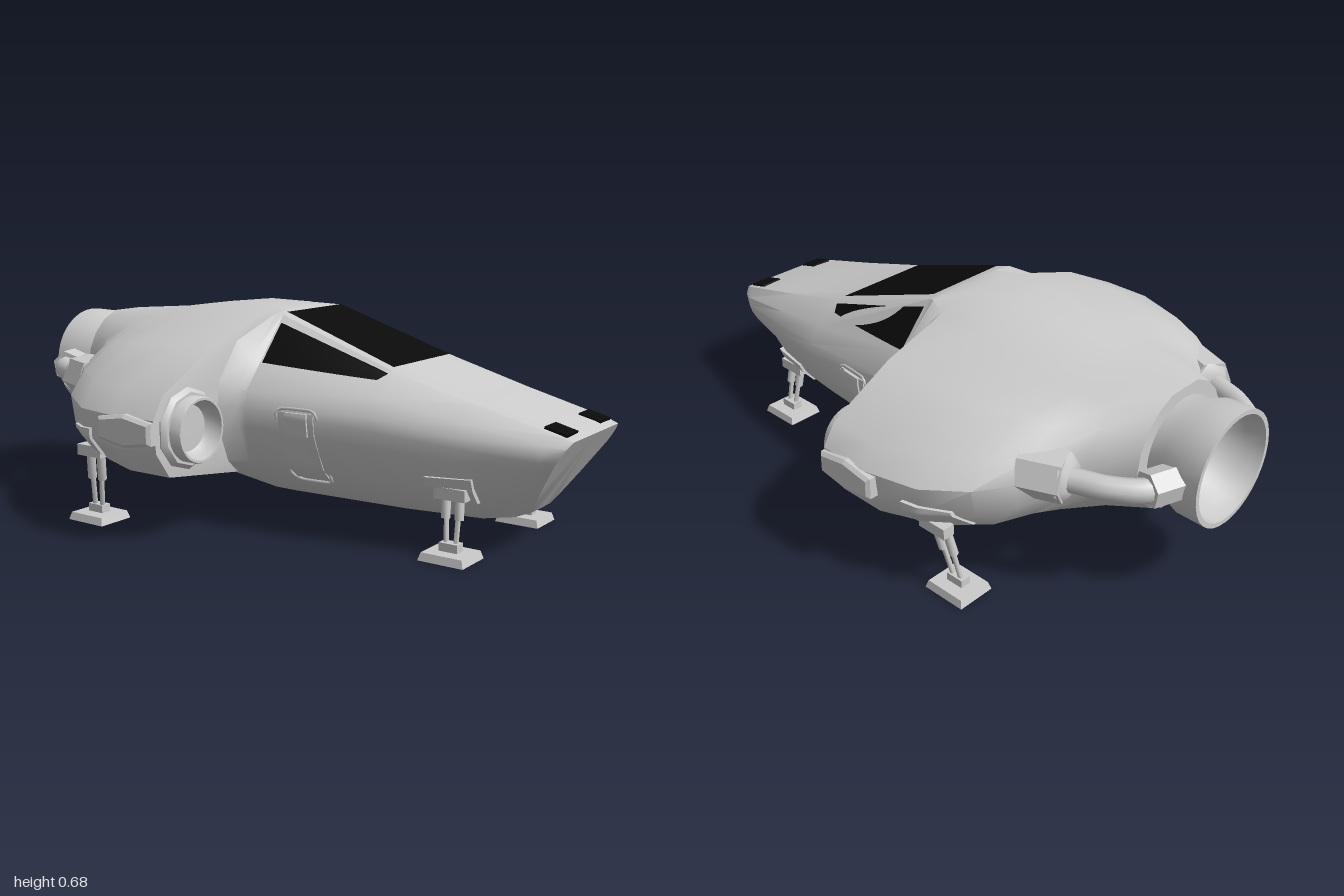
import * as THREE from 'three';
import { toCreasedNormals } from 'three/addons/utils/BufferGeometryUtils.js';

// Half cross-sections from roof to keel: z, lean (z change per unit of y), then nine x, y pairs.
const COCKPIT = [
  [1, 0.65, 0.1, 0.37, 0.16, 0.37, 0.18, 0.35, 0.185, 0.33, 0.185, 0.31, 0.17, 0.28, 0.13, 0.21, 0.09, 0.155, 0.06, 0.125],
  [0.955, 0.6, 0.1, 0.385, 0.17, 0.382, 0.2, 0.355, 0.21, 0.33, 0.21, 0.31, 0.2, 0.28, 0.16, 0.21, 0.125, 0.155, 0.09, 0.11],
  [0.7, 0, 0.1, 0.45, 0.18, 0.447, 0.24, 0.4, 0.262, 0.36, 0.265, 0.33, 0.255, 0.29, 0.22, 0.2, 0.16, 0.125, 0.1, 0.092],
  [0.44, 0, 0.12, 0.522, 0.19, 0.517, 0.28, 0.45, 0.32, 0.4, 0.325, 0.36, 0.315, 0.31, 0.26, 0.2, 0.18, 0.12, 0.1, 0.08],
  [0.02, 0, 0.1, 0.66, 0.167, 0.656, 0.29, 0.515, 0.355, 0.44, 0.365, 0.39, 0.36, 0.33, 0.31, 0.21, 0.21, 0.13, 0.11, 0.076],
  [0, 0, 0.1, 0.668, 0.175, 0.66, 0.31, 0.535, 0.37, 0.45, 0.375, 0.39, 0.37, 0.33, 0.32, 0.21, 0.22, 0.13, 0.11, 0.076],
];
const WINGS = [
  [-0.05, 0, 0.09, 0.672, 0.19, 0.645, 0.31, 0.585, 0.4, 0.47, 0.41, 0.39, 0.4, 0.31, 0.36, 0.21, 0.26, 0.15, 0.12, 0.08],
  [-0.06, 0, 0.09, 0.673, 0.2, 0.643, 0.42, 0.575, 0.64, 0.46, 0.685, 0.39, 0.675, 0.29, 0.62, 0.21, 0.3, 0.165, 0.12, 0.082],
  [-0.22, 0, 0.09, 0.675, 0.2, 0.64, 0.42, 0.572, 0.64, 0.46, 0.69, 0.39, 0.68, 0.29, 0.62, 0.21, 0.3, 0.165, 0.12, 0.105],
  [-0.4, 0, 0.09, 0.655, 0.2, 0.62, 0.4, 0.56, 0.58, 0.46, 0.64, 0.385, 0.63, 0.3, 0.56, 0.22, 0.3, 0.175, 0.12, 0.135],
  [-0.53, 0, 0.1, 0.637, 0.2, 0.6, 0.36, 0.55, 0.5, 0.47, 0.56, 0.4, 0.545, 0.31, 0.47, 0.24, 0.3, 0.195, 0.12, 0.165],
  [-0.605, 0, 0.1, 0.626, 0.19, 0.59, 0.33, 0.53, 0.43, 0.47, 0.47, 0.41, 0.45, 0.33, 0.38, 0.27, 0.26, 0.22, 0.12, 0.18],
  [-0.7, 0, 0.1, 0.618, 0.175, 0.58, 0.23, 0.53, 0.265, 0.48, 0.28, 0.42, 0.265, 0.35, 0.23, 0.29, 0.17, 0.235, 0.1, 0.205],
];
const SECTIONS = [...COCKPIT, ...WINGS].map(([z, lean, ...v]) => {
  const half = [];
  for (let i = 0; i < v.length; i += 2) half.push(new THREE.Vector3(v[i], v[i + 1], z + lean * (v[i + 1] - 0.37)));
  return { z, half };
});
// Round tail section
SECTIONS.push({
  z: -0.82,
  half: Array.from({ length: 9 }, (_, i) => {
    const a = ((i + 1) * Math.PI) / 10;
    return new THREE.Vector3(0.2 * Math.sin(a), 0.42 + 0.2 * Math.cos(a), -0.82);
  }),
});

const GREY = new THREE.MeshStandardMaterial({ color: 0xcccccc, side: THREE.DoubleSide });
const BLACK = new THREE.MeshStandardMaterial({ color: 0x0a0a0a, side: THREE.DoubleSide });

function hullGeometry() {
  const pos = [], idx = [], n = 20;
  for (const { half } of SECTIONS) {
    const first = half[0], last = half[8];
    const ring = [
      new THREE.Vector3(0, first.y, first.z), ...half, new THREE.Vector3(0, last.y, last.z),
      ...half.map((p) => new THREE.Vector3(-p.x, p.y, p.z)).reverse(),
    ];
    ring.forEach((p) => pos.push(p.x, p.y, p.z));
  }
  const end = SECTIONS.length - 1;
  for (let i = 0; i < end; i++) for (let j = 0; j < n; j++) {
    const a = i * n + j, b = i * n + ((j + 1) % n);
    idx.push(a, b, a + n, b, b + n, a + n);
  }
  // Flat nose and tail
  for (let j = 1; j < n - 1; j++) idx.push(0, j + 1, j, end * n, end * n + j, end * n + j + 1);
  const g = new THREE.BufferGeometry();
  g.setAttribute('position', new THREE.Float32BufferAttribute(pos, 3));
  g.setIndex(idx);
  return toCreasedNormals(g, 0.6);
}

// Half width of the hull at a given z and height
function hullX(z, y) {
  let i = 0;
  while (i < SECTIONS.length - 2 && SECTIONS[i + 1].z > z) i++;
  const a = SECTIONS[i], b = SECTIONS[i + 1], t = (z - a.z) / (b.z - a.z);
  const row = a.half.map((p, k) => p.clone().lerp(b.half[k], t));
  for (let k = 0; k < 8; k++) {
    const p = row[k], q = row[k + 1];
    if (y <= p.y && y >= q.y) return p.x + ((q.x - p.x) * (p.y - y)) / (p.y - q.y);
  }
  return row[8].x;
}

// Solid panel that follows the hull; corners are [z, y]: top rear, top front, bottom front, bottom rear
function hullPanel(corners, raise) {
  const g = new THREE.BoxGeometry(1, 1, 1, 10, 10, 1), p = g.attributes.position;
  const [tr, tf, bf, br] = corners;
  const mix = THREE.MathUtils.lerp;
  for (let i = 0; i < p.count; i++) {
    const u = 0.5 - p.getX(i), v = 0.5 - p.getY(i);
    const z = mix(mix(tr[0], tf[0], u), mix(br[0], bf[0], u), v);
    const y = mix(mix(tr[1], tf[1], u), mix(br[1], bf[1], u), v);
    p.setXYZ(i, hullX(z, y) + (p.getZ(i) > 0 ? raise : -0.01), y, z);
  }
  g.computeVertexNormals();
  return g;
}

function rod(a, b, r, sides = 8, r2 = r) {
  const from = new THREE.Vector3(...a), to = new THREE.Vector3(...b), d = to.clone().sub(from);
  const g = new THREE.CylinderGeometry(r2, r, d.length(), sides);
  g.applyQuaternion(new THREE.Quaternion().setFromUnitVectors(new THREE.Vector3(0, 1, 0), d.normalize()));
  g.translate(...from.add(to).multiplyScalar(0.5).toArray());
  return toCreasedNormals(g, 0.8);
}

const box = (w, h, d, x, y, z) => new THREE.BoxGeometry(w, h, d).translate(x, y, z);

const lathe = (profile, sides) =>
  toCreasedNormals(new THREE.LatheGeometry(profile.map((p) => new THREE.Vector2(...p)), sides), 0.6);

function mirrored(geometry) {
  const g = geometry.clone().scale(-1, 1, 1);
  const order = g.index ? Array.from(g.index.array) : Array.from({ length: g.attributes.position.count }, (_, i) => i);
  g.setIndex(order.reverse());
  return g;
}

export function createModel() {
  const model = new THREE.Group();
  model.name = 'spacecraft';
  const add = (name, geometry, material = GREY) => {
    const mesh = new THREE.Mesh(geometry, material);
    mesh.name = name;
    model.add(mesh);
  };
  const pair = (name, geometry, material) => {
    add(name + 'Left', geometry, material);
    add(name + 'Right', mirrored(geometry), material);
  };

  add('hull', hullGeometry());

  // Cockpit glass and nose lights
  const glass = new THREE.BufferGeometry();
  glass.setAttribute('position', new THREE.Float32BufferAttribute(
    [-0.17, 0.527, 0.43, 0.17, 0.527, 0.43, 0.15, 0.664, 0.025, -0.15, 0.664, 0.025], 3));
  glass.setIndex([0, 1, 2, 0, 2, 3]);
  glass.computeVertexNormals();
  add('windshield', glass, BLACK);
  pair('sideWindow', hullPanel([[0.03, 0.632], [0.43, 0.511], [0.41, 0.495], [0.03, 0.52]], 0.006), BLACK);
  pair('noseLight', box(0.075, 0.008, 0.07, 0, 0, 0).rotateX(0.25).translate(0.118, 0.391, 0.943), BLACK);

  // Side doors with a hatch window and a raised frame
  pair('door', hullPanel([[0.14, 0.39], [0.26, 0.39], [0.26, 0.17], [0.14, 0.17]], 0.004));
  pair('doorWindow', hullPanel([[0.165, 0.39], [0.24, 0.39], [0.24, 0.32], [0.165, 0.32]], 0.01));
  const frame = [[0.15, 0.4], [0.25, 0.4], [0.27, 0.38], [0.27, 0.19], [0.25, 0.16], [0.15, 0.16], [0.13, 0.19], [0.13, 0.38]];
  const framePath = new THREE.CatmullRomCurve3(
    frame.map(([z, y]) => new THREE.Vector3(hullX(z, y), y, z)), true, 'catmullrom', 0.2);
  pair('doorFrame', new THREE.TubeGeometry(framePath, 48, 0.005, 5, true));

  // Wing intakes
  const intake = [[0.1, -0.12], [0.1, -0.006], [0.097, 0], [0.09, 0], [0.085, -0.03], [0.065, -0.065], [0.035, -0.085], [0, -0.09]];
  pair('intake', lathe(intake, 32).rotateX(Math.PI / 2).translate(0.54, 0.346, 0));
  const collar = [[0.125, -0.09], [0.125, -0.055], [0.112, -0.04], [0.098, -0.04]];
  pair('intakeCollar', lathe(collar, 10).rotateX(Math.PI / 2).translate(0.54, 0.346, 0));

  // Wingtip blisters
  const tip = new THREE.Shape([[0.07, 0.325], [0.165, 0.31], [0.26, 0.325], [0.26, 0.375], [0.165, 0.39], [0.07, 0.375]]
    .map((p) => new THREE.Vector2(...p)));
  const tipGeometry = new THREE.ExtrudeGeometry(tip, { depth: 0.055, bevelSize: 0.01, bevelThickness: 0.01, bevelSegments: 1 });
  pair('wingtipBlister', tipGeometry.rotateY(Math.PI / 2).translate(0.641, 0, 0));

  // Main nozzle and its feed pipes
  const nozzle = [[0.155, 0.8], [0.158, 0.86], [0.178, 0.91], [0.18, 1], [0.165, 1], [0.155, 0.94], [0.12, 0.88], [0.06, 0.85], [0, 0.84]];
  add('nozzle', lathe(nozzle, 32).rotateX(-Math.PI / 2).translate(0, 0.42, 0));
  const pipe = new THREE.CatmullRomCurve3([[0.385, -0.62], [0.345, -0.72], [0.31, -0.81], [0.25, -0.885], [0.17, -0.91]]
    .map(([x, z]) => new THREE.Vector3(x, 0.42, z)));
  pair('feedPipe', new THREE.TubeGeometry(pipe, 24, 0.036, 10));
  pair('pipeWingCollar', rod([0.4, 0.42, -0.57], [0.35, 0.42, -0.69], 0.078, 6));
  pair('pipeWingCollarTip', rod([0.35, 0.42, -0.69], [0.345, 0.42, -0.71], 0.078, 6, 0.05));
  pair('pipeNozzleCollar', rod([0.16, 0.42, -0.915], [0.245, 0.42, -0.885], 0.055, 6));

  // Landing legs: hull plate, crossbar, twin struts, ankle and foot
  const legs = [
    { name: 'frontLeg', foot: [0.245, 0.675], top: [0.215, 0.2, 0.665], plate: [[0.59, 0.235], [0.73, 0.24], [0.73, 0.16], [0.59, 0.15]] },
    { name: 'rearLeg', foot: [0.53, -0.45], top: [0.572, 0.25, -0.415], plate: [[-0.48, 0.32], [-0.35, 0.33], [-0.36, 0.235], [-0.5, 0.25]] },
  ];
  for (const { name, foot: [x, z], top: [tx, ty, tz], plate } of legs) {
    pair(name + 'Plate', hullPanel(plate, 0.012));
    pair(name + 'Crossbar', box(0.04, 0.035, 0.1, tx + 0.01, ty - 0.01, tz));
    for (const side of [-0.022, 0.022]) {
      const mid = [(x + tx) / 2, (0.03 + ty) / 2, (z + tz) / 2 + side];
      pair(name + 'Strut', rod([x, 0.03, z + side * 0.7], [tx, ty, tz + side], 0.008));
      pair(name + 'Sleeve', rod(mid, [tx, ty, tz + side], 0.014));
    }
    pair(name + 'Ankle', box(0.035, 0.025, 0.06, x, 0.038, z));
    const foot = new THREE.CylinderGeometry(0.088, 0.098, 0.024, 4).toNonIndexed();
    foot.computeVertexNormals();
    pair(name + 'Foot', foot.rotateY(Math.PI / 4).scale(0.92, 1, 1.06).translate(x, 0.012, z));
  }
  return model;
}
